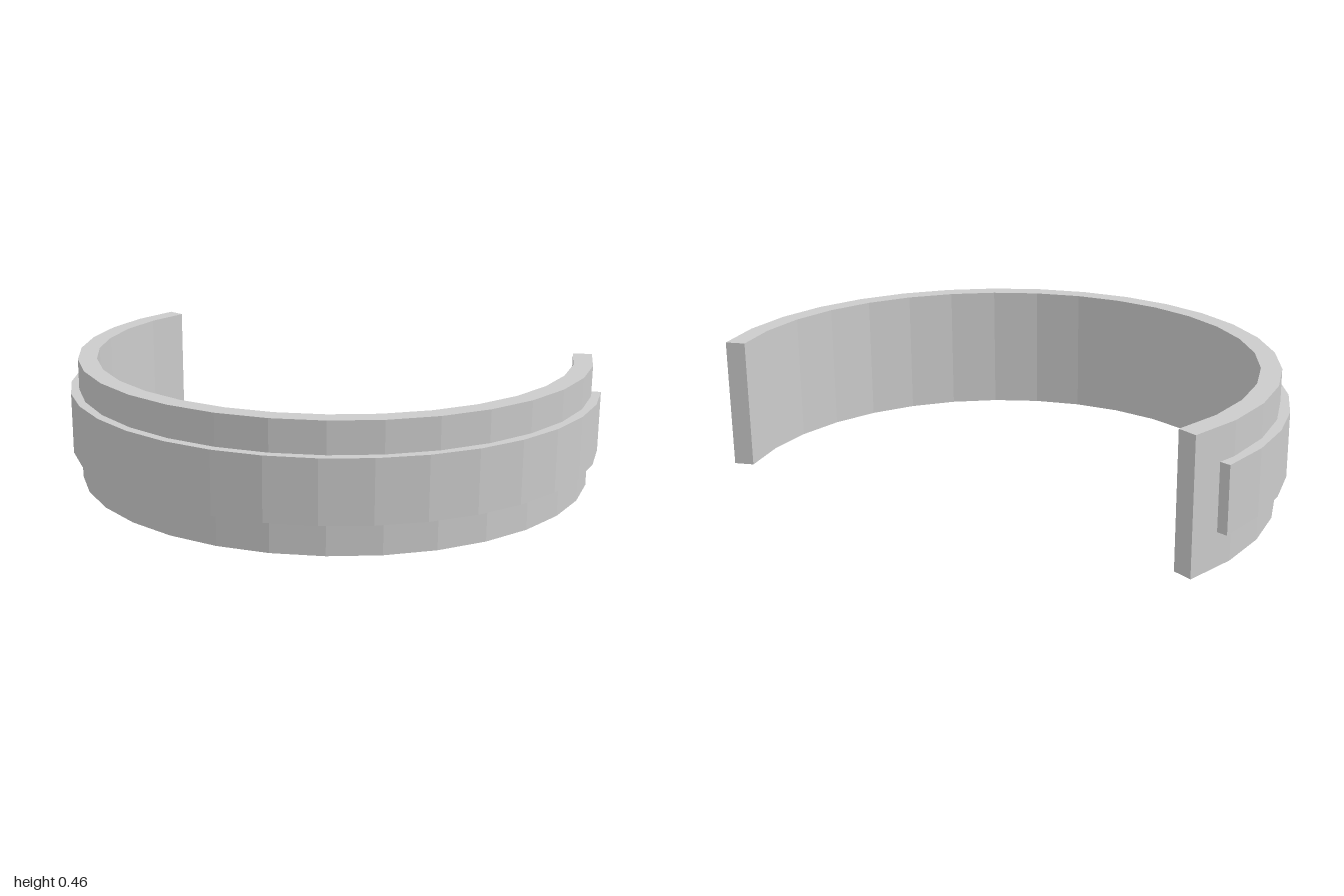
import * as THREE from 'three';

const CENTRE_Z = -0.335;
const material = new THREE.MeshStandardMaterial({ color: 0xcccccc, flatShading: true });

// Open ring wall: an arc centred on the front (+z), extruded upwards
function arcBand(name, inner, outer, halfAngle, y0, y1, segments) {
  const points = [];
  const addArc = (r, from, to) => {
    for (let i = 0; i <= segments; i++) {
      const a = THREE.MathUtils.degToRad(from + (to - from) * i / segments);
      points.push(new THREE.Vector2(r * Math.sin(a), -r * Math.cos(a)));
    }
  };
  addArc(outer, -halfAngle, halfAngle);
  addArc(inner, halfAngle, -halfAngle);
  const geometry = new THREE.ExtrudeGeometry(new THREE.Shape(points), {
    depth: y1 - y0, bevelEnabled: false,
  });
  geometry.rotateX(-Math.PI / 2);
  geometry.translate(0, y0, CENTRE_Z);
  const mesh = new THREE.Mesh(geometry, material);
  mesh.name = name;
  return mesh;
}

export function createModel() {
  const group = new THREE.Group();
  group.name = 'cuffBracelet';
  // Main open cuff
  group.add(arcBand('cuff', 0.897, 0.967, 110, 0, 0.456, 20));
  // Raised strip around the outside, rooted in the cuff wall
  group.add(arcBand('raisedBand', 0.945, 1.0, 103, 0.116, 0.342, 20));
  return group;
}
